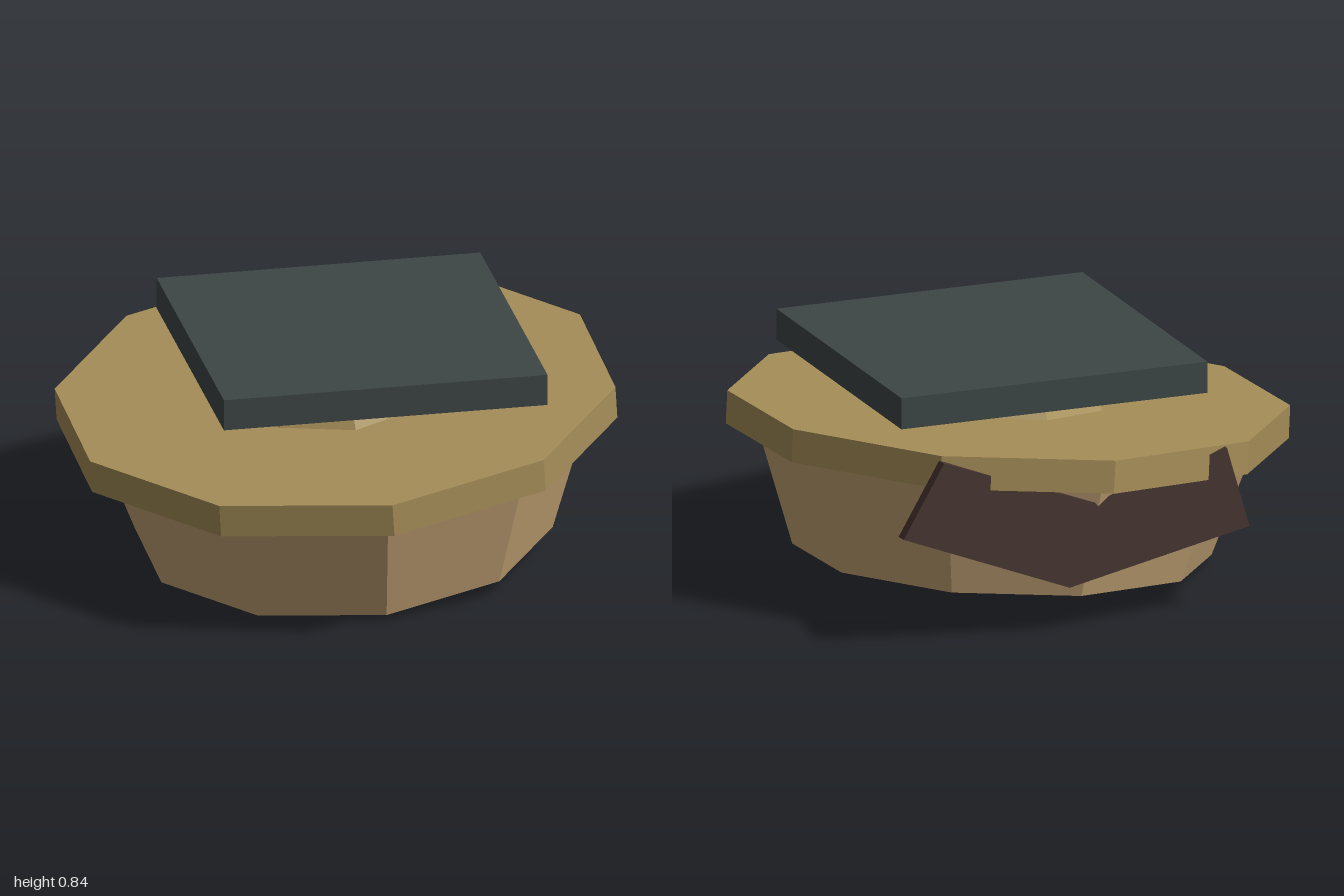
import * as THREE from 'three';

export function createModel() {
  const model = new THREE.Group();
  const mat = (name, color) => {
    const m = new THREE.MeshStandardMaterial({ color, flatShading: true });
    m.name = name;
    return m;
  };
  const tan = mat('tan', 0xc8a777);
  const olive = mat('olive brown', 0xa68e58);
  const slate = mat('slate', 0x3e4646);
  const darkBrown = mat('dark brown', 0x46332f);

  const add = (parent, name, geometry, material, x = 0, y = 0, z = 0) => {
    const mesh = new THREE.Mesh(geometry, material);
    mesh.name = name;
    mesh.position.set(x, y, z);
    parent.add(mesh);
    return mesh;
  };

  // Tilted body: tapered bowl, overhanging rim and raised neck
  const body = new THREE.Group();
  body.name = 'body';
  body.position.set(0.004, 0.49, -0.003);
  body.rotation.set(0.05, 0, 0.068);
  model.add(body);
  add(body, 'bowl', new THREE.CylinderGeometry(0.89, 0.745, 0.43, 10), tan, 0, -0.215, 0);
  add(body, 'rim', new THREE.CylinderGeometry(1, 1, 0.12, 10), olive, 0, 0.06, 0);
  add(body, 'neck', new THREE.CylinderGeometry(0.262, 0.36, 0.15, 8), olive, 0, 0.195, 0);

  // Level square slab on top, slightly off centre
  add(model, 'slab', new THREE.BoxGeometry(1.17, 0.115, 1.17), slate, 0.055, 0.787, 0.015);

  // Bent flat band across the back
  const outline = [
    [0.755, 0.42], [0.595, 0.68], [0.03, 0.475],
    [-0.485, 0.615], [-0.565, 0.32], [0.125, 0.173],
  ].map(([x, y]) => new THREE.Vector2(x, y));
  const bandGeometry = new THREE.ExtrudeGeometry(new THREE.Shape(outline), { depth: 0.048, bevelEnabled: false });
  const band = add(model, 'backBand', bandGeometry, darkBrown, 0, 0, -0.893);
  band.rotation.x = 0.05;

  return model;
}
